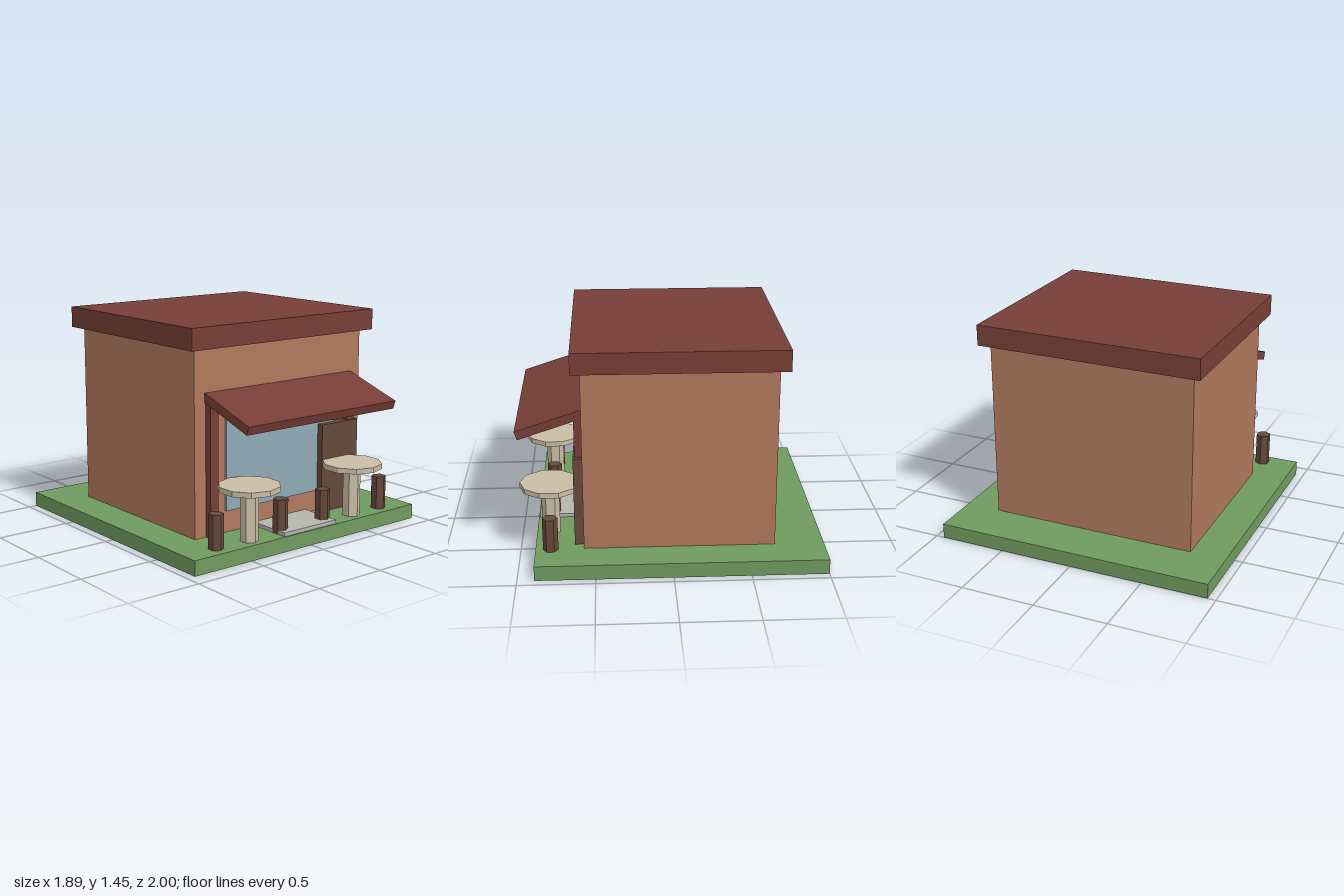
import * as THREE from 'three';

const mat = (color) => new THREE.MeshStandardMaterial({ color, flatShading: true });

export function createModel() {
  const model = new THREE.Group();
  const grass = mat(0x6f9a5f), wall = mat(0xb0785c), roofRed = mat(0x773e37);
  const wood = mat(0x66493c), stone = mat(0xc9bda5), glass = mat(0x8fa8b5), slab = mat(0xb5b5b0);

  // Box given by its min and max corners
  function box(name, material, [x0, y0, z0], [x1, y1, z1]) {
    const mesh = new THREE.Mesh(new THREE.BoxGeometry(x1 - x0, y1 - y0, z1 - z0), material);
    mesh.position.set((x0 + x1) / 2, (y0 + y1) / 2, (z0 + z1) / 2);
    mesh.name = name;
    model.add(mesh);
    return mesh;
  }

  // Upright prism standing at height y0
  function prism(name, material, parent, radius, sides, x, y0, y1, z) {
    const mesh = new THREE.Mesh(new THREE.CylinderGeometry(radius, radius, y1 - y0, sides), material);
    mesh.position.set(x, (y0 + y1) / 2, z);
    mesh.name = name;
    parent.add(mesh);
  }

  // Ground, building and roof
  box('ground', grass, [-0.945, 0, -1], [0.945, 0.1, 0.89]);
  box('walls', wall, [-0.705, 0.1, -0.675], [0.705, 1.31, 0.575]);
  box('roof', roofRed, [-0.765, 1.31, -0.735], [0.765, 1.45, 0.635]);

  // Shop front
  box('window', glass, [-0.465, 0.245, 0.56], [0.465, 0.89, 0.59]);
  box('door', wood, [0.32, 0.1, 0.56], [0.645, 0.705, 0.635]);
  box('doorstep', slab, [-0.225, 0.1, 0.58], [0.225, 0.125, 0.88]);

  // Sloping awning on two posts
  const awning = box('awning', roofRed, [-0.625, 0.904, 0.556], [0.625, 0.962, 1.004]);
  awning.rotation.x = 0.318;
  for (const side of [-1, 1]) {
    const post = box('awningPost', roofRed, [-0.031, 0.1, 0.563], [0.031, 0.965, 0.625]);
    post.position.x = side * 0.587;
  }

  // Two tables, each with a pair of stools
  for (const side of [-1, 1]) {
    const set = new THREE.Group();
    set.name = side < 0 ? 'rightTableSet' : 'leftTableSet';
    set.position.set(side * 0.445, 0, 0.795);
    prism('tableTop', stone, set, 0.2, 10, 0, 0.43, 0.465, 0);
    prism('tableLeg', stone, set, 0.06, 6, 0, 0.1, 0.43, 0);
    for (const s of [-1, 1]) prism('stool', wood, set, 0.05, 6, s * 0.262, 0.1, 0.325, -0.004);
    model.add(set);
  }
  return model;
}
